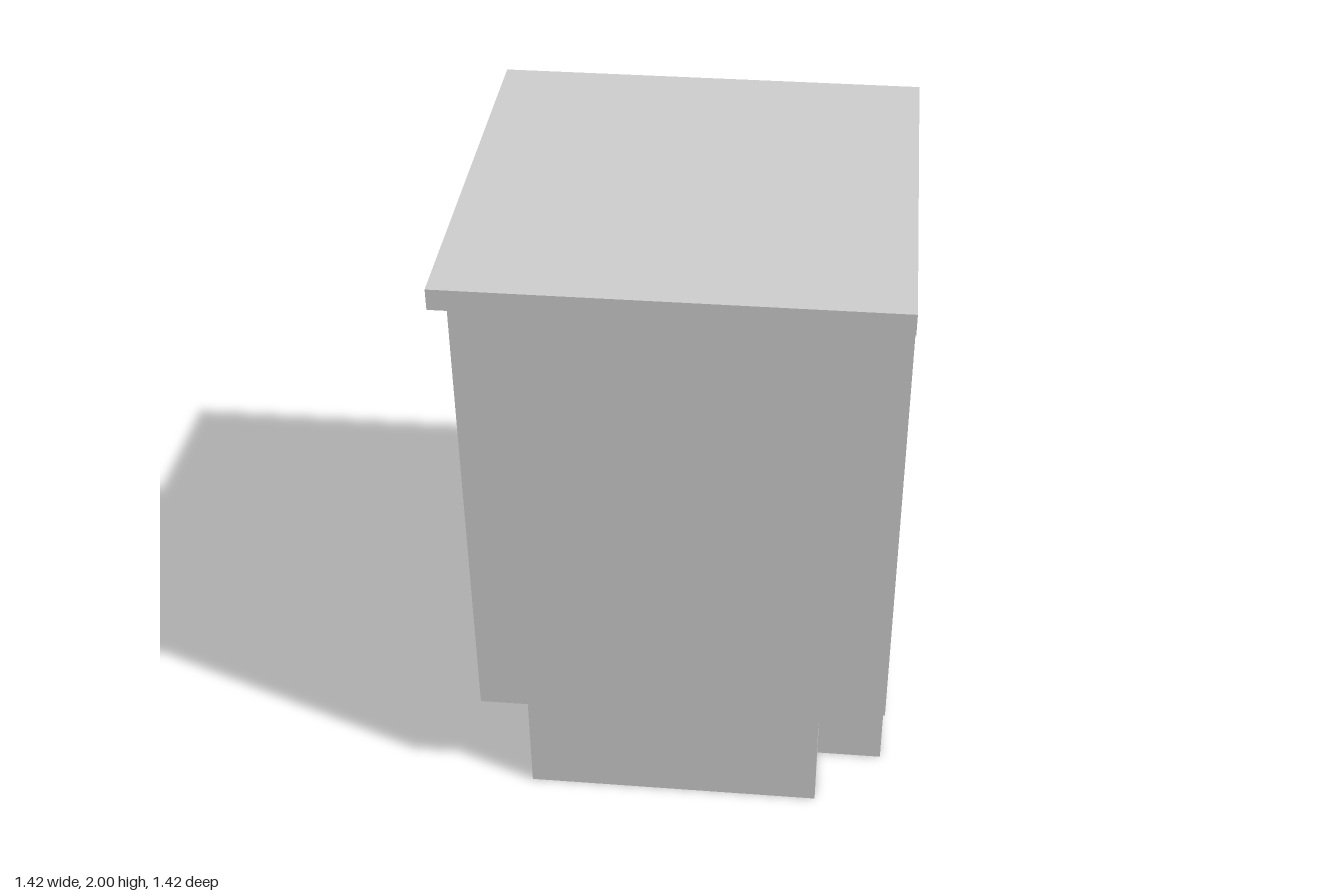
import * as THREE from 'three';

const OUT = 0.71; // flush front and left faces

// Square block set back at the right and back, with its front-left corner cut out
function cornerBlock(name, inset, bottom, top, material) {
  const s = new THREE.Shape();
  // plan outline; shape y becomes -z
  s.moveTo(-inset, -OUT);
  s.lineTo(inset, -OUT);
  s.lineTo(inset, -inset);
  s.lineTo(OUT, -inset);
  s.lineTo(OUT, inset);
  s.lineTo(-inset, inset);
  s.closePath();
  const geo = new THREE.ExtrudeGeometry(s, { depth: top - bottom, bevelEnabled: false });
  geo.rotateX(-Math.PI / 2);
  const mesh = new THREE.Mesh(geo, material);
  mesh.name = name;
  mesh.position.y = bottom;
  return mesh;
}

export function createModel() {
  const group = new THREE.Group();
  group.name = 'cornerCabinet';
  const material = new THREE.MeshStandardMaterial({ color: 0xcccccc });

  // recessed base and cabinet body
  group.add(cornerBlock('plinth', 0.49, 0, 0.36, material));
  group.add(cornerBlock('cabinetBody', 0.65, 0.36, 1.93, material));

  // full square worktop
  const worktop = new THREE.Mesh(new THREE.BoxGeometry(OUT * 2, 0.07, OUT * 2), material);
  worktop.name = 'worktop';
  worktop.position.y = 1.965;
  group.add(worktop);

  return group;
}
